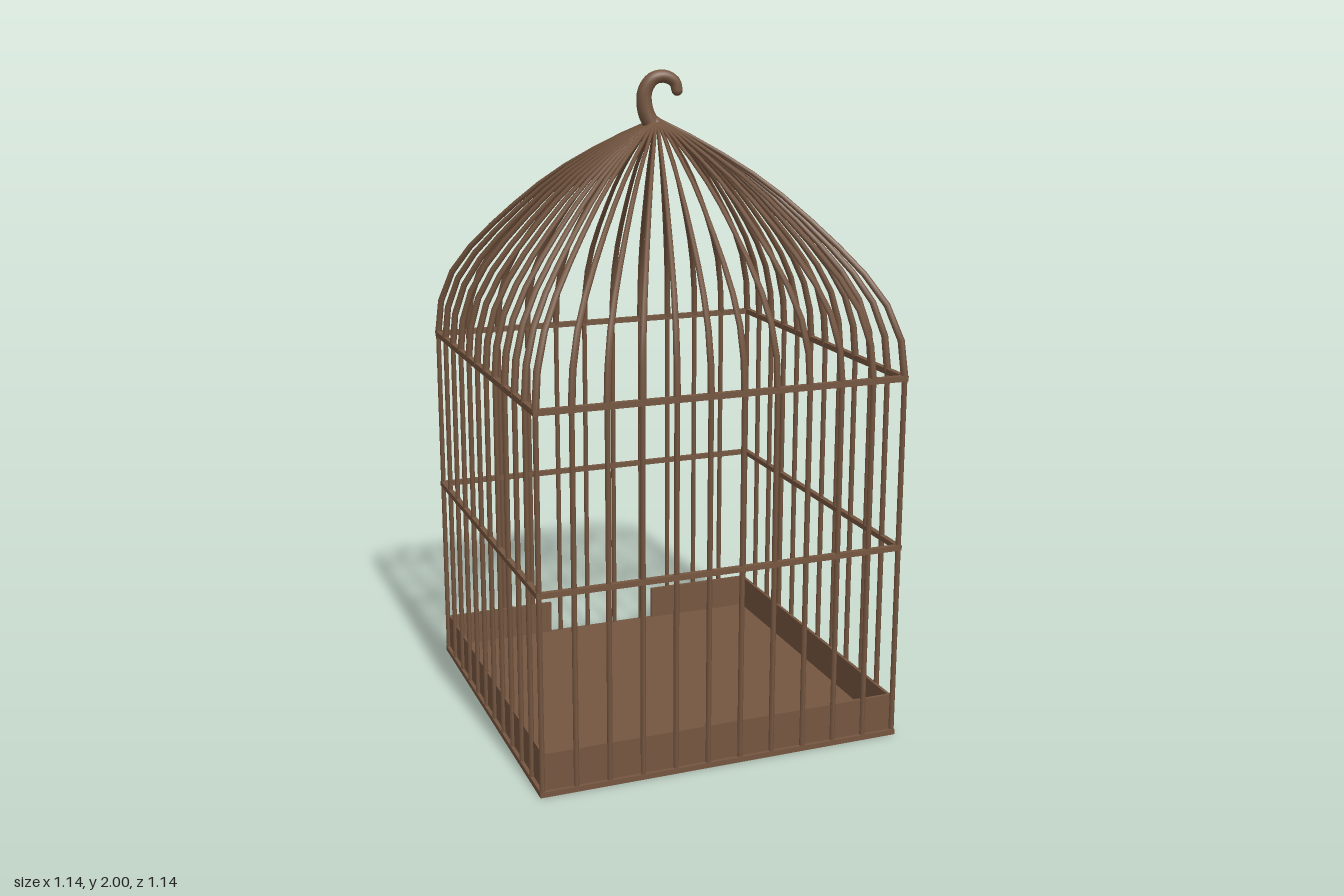
import * as THREE from 'three';

const HALF = 0.56, COUNT = 12;

// Tube whose radius changes evenly from r0 to r1, with closed ends
function taperedTube(points, segments, sides, r0, r1) {
  const curve = new THREE.CatmullRomCurve3(points.map(p => new THREE.Vector3(...p)));
  const geo = new THREE.TubeGeometry(curve, segments, 1, sides, false);
  const pos = geo.attributes.position, v = new THREE.Vector3();
  for (let i = 0; i <= segments; i++) {
    const t = i / segments, c = curve.getPointAt(t), r = r0 + (r1 - r0) * t;
    for (let j = 0; j <= sides; j++) {
      const k = i * (sides + 1) + j;
      v.fromBufferAttribute(pos, k).sub(c).multiplyScalar(r).add(c);
      pos.setXYZ(k, v.x, v.y, v.z);
    }
  }
  return geo;
}

export function createModel() {
  const cage = new THREE.Group();
  cage.name = 'birdcage';
  const brown = new THREE.MeshStandardMaterial({ color: 0x755640 });
  brown.name = 'aged brown metal';

  const add = (name, geo, x = 0, y = 0, z = 0) => {
    const mesh = new THREE.Mesh(geo, brown);
    mesh.name = name;
    mesh.position.set(x, y, z);
    cage.add(mesh);
    return mesh;
  };

  // Feet of the bars around the square, each corner once
  const feet = [];
  for (let i = 0; i < COUNT - 1; i++) {
    const a = -HALF + (2 * HALF * i) / (COUNT - 1);
    feet.push([a, HALF], [HALF, -a], [-a, -HALF], [-HALF, a]);
  }

  // Upright bars and the dome ribs that carry on from them
  const barGeo = new THREE.CylinderGeometry(0.008, 0.008, 1.13, 6);
  const profile = [[1, 1.13], [0.985, 1.23], [0.94, 1.32], [0.86, 1.405],
    [0.735, 1.5], [0.46, 1.67], [0.2, 1.785], [0.015, 1.85]];
  for (const [x, z] of feet) {
    add('uprightBar', barGeo, x, 0.57, z);
    const path = profile.map(([s, y]) => [x * s, y, z * s]);
    add('domeRib', taperedTube(path, 10, 6, 0.011, 0.005));
  }

  // Horizontal rails on all four sides
  for (const [y, t] of [[0.012, 0.016], [0.61, 0.016], [1.13, 0.017]]) {
    for (const s of [-1, 1]) {
      add('railAcross', new THREE.BoxGeometry(2 * HALF + t, t, t), 0, y, s * HALF);
      add('railAlong', new THREE.BoxGeometry(t, t, 2 * HALF + t), s * HALF, y, 0);
    }
  }

  // Tray: floor and low walls, with an opening in the back wall
  const wallY = 0.073, wallH = 0.12, inset = 0.552, gap = 0.19;
  add('floor', new THREE.BoxGeometry(2 * inset, 0.012, 2 * inset), 0, 0.018, 0);
  add('frontWall', new THREE.BoxGeometry(2 * inset, wallH, 0.01), 0, wallY, inset);
  for (const s of [-1, 1]) {
    add('sideWall', new THREE.BoxGeometry(0.01, wallH, 2 * inset), s * inset, wallY, 0);
    add('backWall', new THREE.BoxGeometry(inset - gap, wallH, 0.01),
      s * (inset + gap) / 2, wallY, -inset);
  }

  // Hanging hook with a rounded tip
  const hook = [[-0.012, 1.83, 0], [-0.034, 1.88, -0.004], [-0.036, 1.935, -0.004],
    [-0.012, 1.972, 0], [0.025, 1.979, 0.004], [0.056, 1.962, 0.007], [0.063, 1.938, 0.008]];
  add('hook', taperedTube(hook, 28, 12, 0.027, 0.017));
  add('hookTip', new THREE.SphereGeometry(0.017, 12, 8), ...hook[hook.length - 1]);
  add('crown', new THREE.SphereGeometry(0.026, 12, 8), -0.008, 1.838, 0);

  return cage;
}
